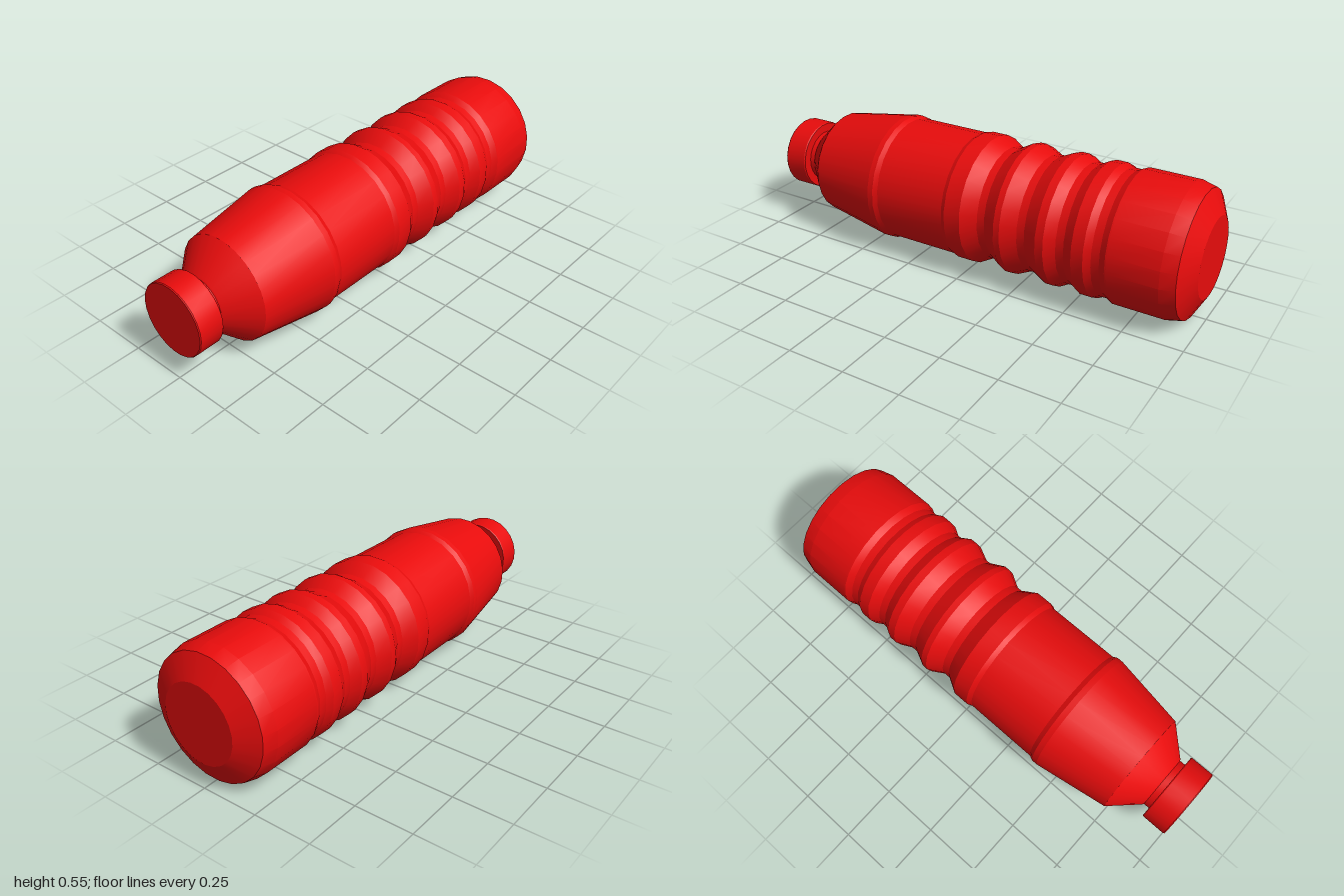
import * as THREE from 'three';
import { toCreasedNormals } from 'three/addons/utils/BufferGeometryUtils.js';

const SIDES = 24;
const RADIUS = 0.279;

// Turned section along z; profile is [radius, z] from back to front.
function turned(name, profile, material) {
  const points = profile.map(([r, z]) => new THREE.Vector2(r, z));
  const geometry = new THREE.LatheGeometry(points, SIDES, THREE.MathUtils.degToRad(9));
  geometry.rotateX(Math.PI / 2);
  const mesh = new THREE.Mesh(toCreasedNormals(geometry, 0.35), material);
  mesh.name = name;
  mesh.position.y = RADIUS;
  return mesh;
}

export function createModel() {
  const group = new THREE.Group();
  group.name = 'handle';
  const red = new THREE.MeshStandardMaterial({ color: 0xe80c0c });

  // Chamfered rear end
  group.add(turned('rearCap', [
    [0, -1], [0.167, -1], [0.264, -0.95], [RADIUS, -0.89], [RADIUS, -0.68],
  ], red));

  // Ribbed grip: each groove is [centre z, depth, half width], deeper to the front
  const grooves = [
    [-0.63, 0.014, 0.045], [-0.475, 0.024, 0.06],
    [-0.3, 0.03, 0.08], [-0.113, 0.036, 0.08],
  ];
  const grip = [[RADIUS, -0.68]];
  for (const [z, depth, half] of grooves) {
    const floor = RADIUS - depth;
    grip.push([RADIUS, z - half], [floor, z - 0.017], [floor, z + 0.017], [RADIUS, z + half]);
  }
  grip.push([RADIUS, 0.04]);
  group.add(turned('ribbedGrip', grip, red));

  // Slightly recessed barrel between two raised collars
  group.add(turned('barrel', [
    [RADIUS, 0.04], [0.27, 0.06], [0.27, 0.385], [RADIUS, 0.405], [RADIUS, 0.43],
  ], red));

  // Tapered nose with steep shoulder
  group.add(turned('nose', [
    [RADIUS, 0.43], [0.227, 0.75], [0.122, 0.86], [0.115, 0.865],
  ], red));

  // Narrow neck and round tip
  group.add(turned('tip', [
    [0.115, 0.865], [0.115, 0.89], [0.152, 0.89], [0.155, 0.895],
    [0.155, 0.996], [0.152, 1], [0, 1],
  ], red));

  return group;
}
